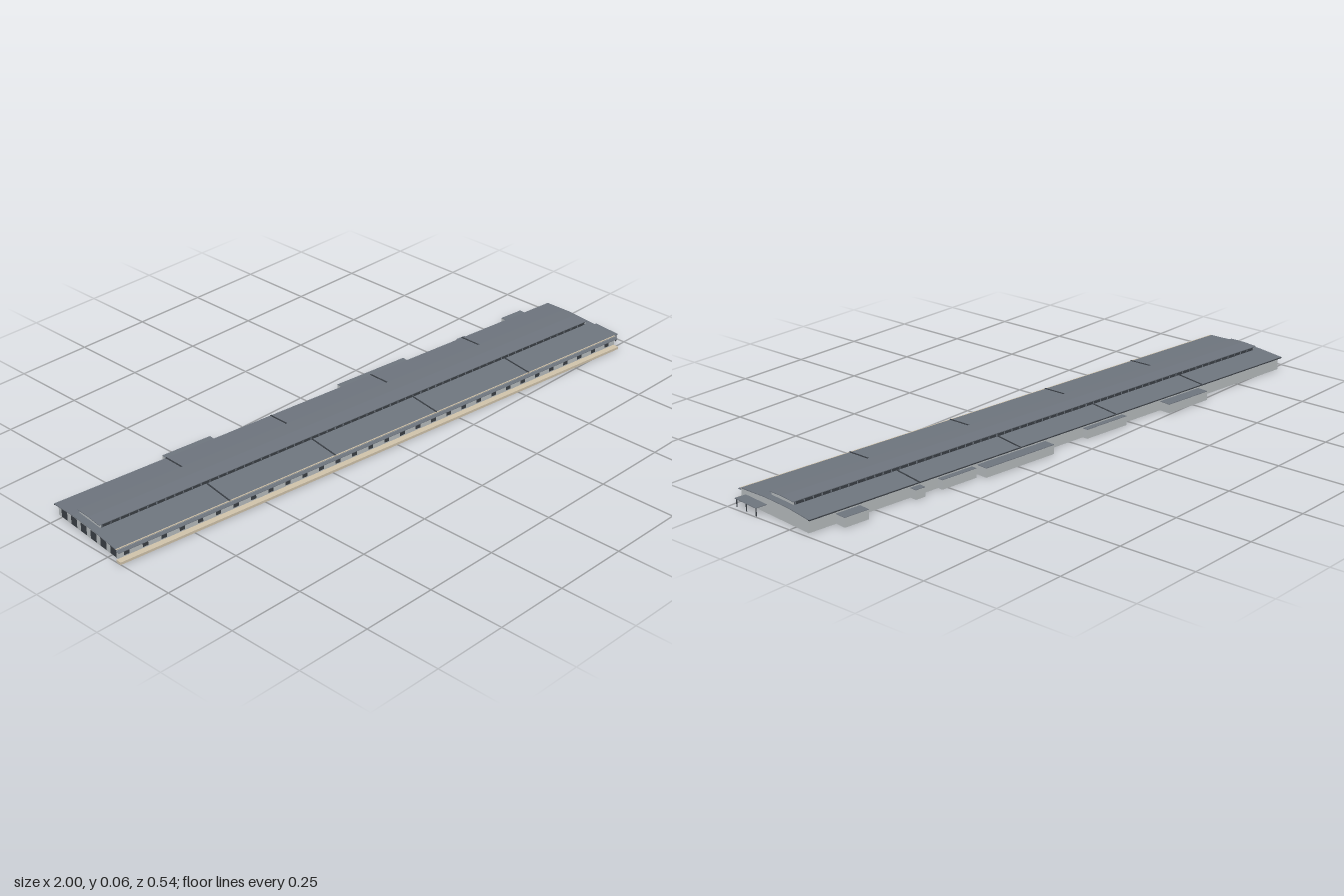
import * as THREE from 'three';

const mat = (color) => new THREE.MeshStandardMaterial({ color, flatShading: true, side: THREE.DoubleSide });

export function createModel() {
  const model = new THREE.Group();
  model.name = 'longShed';
  const hall = new THREE.Group();
  hall.name = 'hall';
  model.add(hall);

  const roofMat = mat(0x6e757e), wallMat = mat(0xb6bbbd), darkMat = mat(0x3a3f45), stoneMat = mat(0xd0c3ab);

  function add(name, geometry, material) {
    const mesh = new THREE.Mesh(geometry, material);
    mesh.name = name;
    hall.add(mesh);
    return mesh;
  }
  // Box given by its limits along length (x), height (y) and depth (z)
  function box(name, x0, x1, y0, y1, z0, z1, material) {
    const g = new THREE.BoxGeometry(x1 - x0, y1 - y0, z1 - z0);
    g.translate((x0 + x1) / 2, (y0 + y1) / 2, (z0 + z1) / 2);
    return add(name, g, material);
  }
  // Cross-section of [z, y] points carried along the length
  function prism(name, points, x0, x1, material) {
    const shape = new THREE.Shape(points.map(([z, y]) => new THREE.Vector2(-z, y)));
    const g = new THREE.ExtrudeGeometry(shape, { depth: x1 - x0, bevelEnabled: false });
    g.rotateY(Math.PI / 2).translate(x0, 0, 0);
    return add(name, g, material);
  }

  const END = 0.98, FRONT = 0.147, BACK = -0.158;
  const MON_FRONT = 0.039, MON_BACK = -0.066, MON_END = 0.955;

  // Outer walls, open underneath
  box('frontWall', -END + 0.012, END, 0, 0.041, FRONT - 0.004, FRONT, wallMat);
  box('backWall', -END + 0.012, END, 0, 0.04, BACK, BACK + 0.004, wallMat);
  const gable = [[FRONT, 0], [FRONT, 0.041], [MON_FRONT, 0.046], [MON_BACK, 0.046], [BACK, 0.04], [BACK, 0]];
  prism('rightEndWall', gable, END - 0.006, END - 0.001, wallMat);
  prism('leftEndWall', gable, -END + 0.012, -END + 0.017, wallMat);

  // Low roof slopes on both sides of the raised centre, with dark ceilings
  const slopes = [
    ['frontRoof', FRONT + 0.002, 0.042, MON_FRONT, 0.048],
    ['backRoof', BACK - 0.004, 0.041, MON_BACK, 0.048],
  ];
  for (const [name, z0, y0, z1, y1] of slopes) {
    prism(name, [[z0, y0], [z1, y1], [z1, y1 - 0.002], [z0, y0 - 0.003]], -END, END, roofMat);
    const zi = z0 - Math.sign(z0) * 0.008;
    prism(name + 'Ceiling', [[zi, y0 - 0.003], [z1, y1 - 0.002], [z1, y1 - 0.004], [zi, y0 - 0.005]],
      -END + 0.02, END - 0.008, darkMat);
    // Raised fire-wall strips across each slope
    for (const x of [-0.59, -0.2, 0.2, 0.59])
      prism('roofDivider', [[z0, y0], [z1, y1], [z1, y1 + 0.002], [z0, y0 + 0.002]], x - 0.002, x + 0.002, darkMat);
  }
  box('backGutter', -END, END, 0.037, 0.04, BACK - 0.005, BACK, darkMat);
  box('frontEaveTrim', -END, END, 0.0405, 0.0425, FRONT, FRONT + 0.003, stoneMat);
  for (const s of [-1, 1]) // roof ends beyond the raised centre
    box('endRoof', s > 0 ? MON_END - 0.002 : -END, s > 0 ? END : -MON_END + 0.002, 0.046, 0.048, MON_BACK, MON_FRONT, roofMat);

  // Raised centre: glazed sides with posts, light ends and a shallow ridge roof
  const mid = (MON_FRONT + MON_BACK) / 2;
  for (const z of [MON_BACK + 0.003, MON_FRONT - 0.003]) {
    box('clerestoryGlazing', -MON_END, MON_END, 0.046, 0.058, z - 0.001, z + 0.001, darkMat);
    box('ceilingBeam', -END + 0.03, END - 0.02, 0.04, 0.046, z - 0.004, z + 0.004, wallMat);
    const count = 62;
    const posts = new THREE.InstancedMesh(new THREE.BoxGeometry(0.004, 0.01, 0.003), roofMat, count);
    posts.name = 'clerestoryPosts';
    for (let i = 0; i < count; i++)
      posts.setMatrixAt(i, new THREE.Matrix4().makeTranslation(-MON_END + 0.004 + i * (2 * MON_END - 0.008) / (count - 1), 0.053, z));
    hall.add(posts);
  }
  for (const s of [-1, 1])
    box('clerestoryEnd', s * MON_END - 0.002, s * MON_END + 0.002, 0.046, 0.058, MON_BACK + 0.002, MON_FRONT - 0.002, wallMat);
  const ridge = (y) => [[MON_FRONT + 0.001, y], [mid, y + 0.002], [MON_BACK - 0.001, y]];
  prism('raisedRoof', [...ridge(0.0595), ...ridge(0.0575).reverse()], -MON_END - 0.006, MON_END + 0.006, roofMat);
  prism('raisedCeiling', [...ridge(0.0574), ...ridge(0.0565).reverse()], -MON_END + 0.003, MON_END - 0.003, darkMat);

  // Front loading side: platform, canopy and a row of doors
  box('platform', -END, END, 0, 0.008, FRONT, 0.167, stoneMat);
  box('frontCanopy', -END, END, 0.0345, 0.036, FRONT, 0.162, roofMat);
  for (let i = 0; i < 31; i++) {
    const x = -0.945 + i * 0.063;
    box('frontDoor', x - 0.009, x + 0.009, 0.012, 0.029, FRONT, FRONT + 0.001, darkMat);
  }

  // Left end: openings below the roof overhang
  for (let i = 0; i < 6; i++) {
    const z = -0.128 + i * 0.049;
    box('leftEndDoor', -END + 0.011, -END + 0.0125, 0.002, 0.03, z - 0.014, z + 0.014, darkMat);
  }

  // Right end: small canopy on posts
  box('endCanopy', END - 0.002, 1.017, 0.025, 0.027, 0.03, 0.128, roofMat);
  for (const z of [0.034, 0.079, 0.124])
    box('endCanopyPost', 1.012, 1.0145, 0, 0.025, z - 0.00125, z + 0.00125, darkMat);

  // Annexes along the back: start, end, projection
  const annexes = [
    [-0.58, -0.405, 0.038], [-0.235, -0.065, 0.018], [0.093, 0.365, 0.038],
    [0.385, 0.515, 0.018], [0.583, 0.618, 0.023], [0.8, 0.885, 0.038],
  ];
  for (const [x0, x1, d] of annexes) {
    const z = BACK - d;
    box('annexBackWall', x0, x1, 0, 0.029, z, z + 0.002, wallMat);
    box('annexSideWall', x0, x0 + 0.002, 0, 0.029, z, BACK, wallMat);
    box('annexSideWall', x1 - 0.002, x1, 0, 0.029, z, BACK, wallMat);
    box('annexRoof', x0, x1, 0.0285, 0.0305, z, BACK, roofMat);
  }

  // The whole building stands slightly turned on its plot
  hall.rotation.y = -0.108;
  hall.position.set(-0.009, 0, -0.005);
  return model;
}
